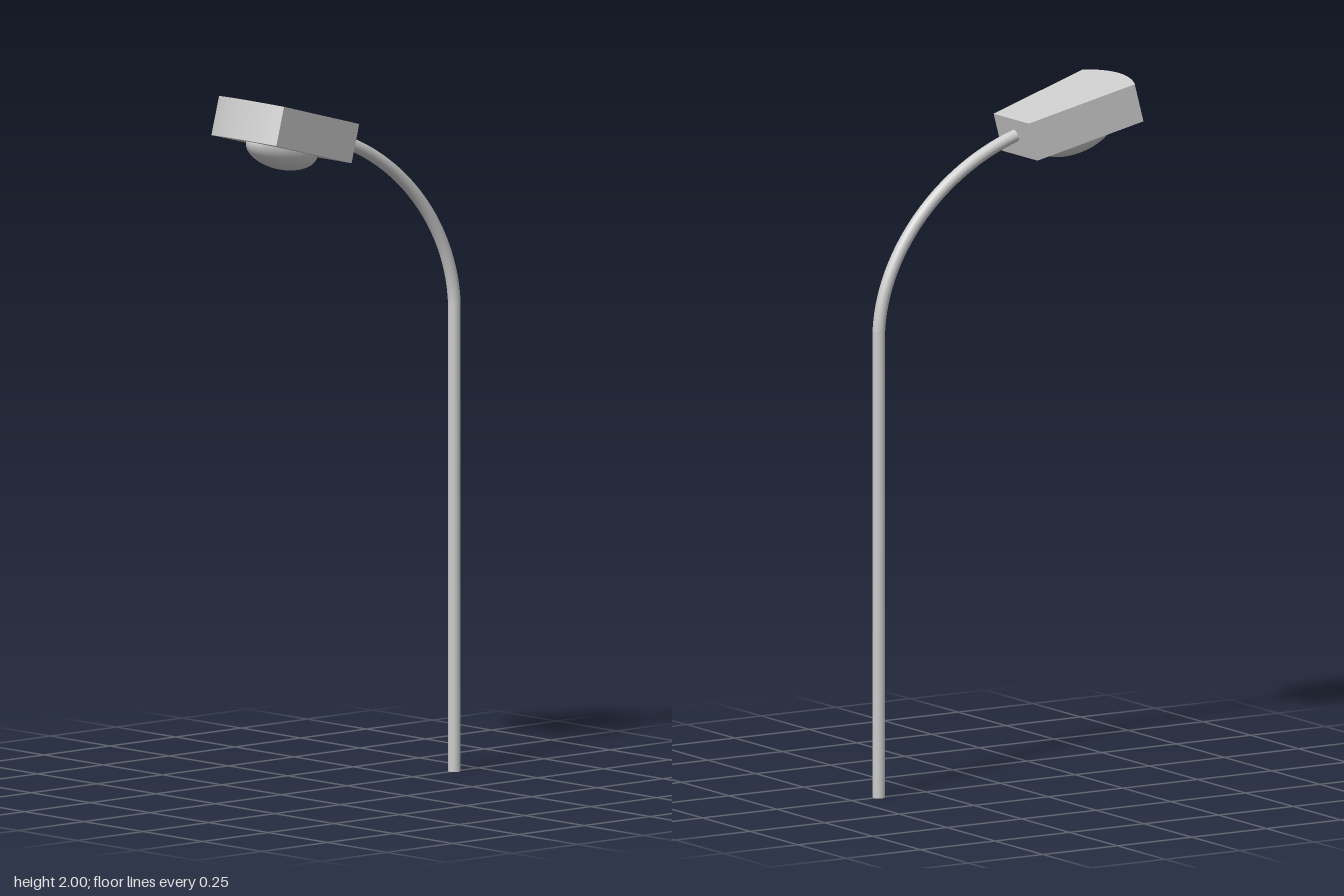
import * as THREE from 'three';
import { toCreasedNormals } from 'three/addons/utils/BufferGeometryUtils.js';

const material = new THREE.MeshStandardMaterial({ color: 0xcccccc });

const POLE_Z = -0.408, POLE_R = 0.018, POLE_TOP = 1.34;
const HEAD_T = 0.113; // thickness of the lamp head

function addPart(parent, name, geometry) {
  const mesh = new THREE.Mesh(geometry, material);
  mesh.name = name;
  parent.add(mesh);
  return mesh;
}

export function createModel() {
  const model = new THREE.Group();
  model.name = 'streetLamp';

  // Straight upright pole
  const pole = addPart(model, 'pole', new THREE.CylinderGeometry(POLE_R, POLE_R, POLE_TOP, 24));
  pole.position.set(0, POLE_TOP / 2, POLE_Z);

  // Arm bending forward from the pole into the head
  const bend = new THREE.CubicBezierCurve3(
    new THREE.Vector3(0, POLE_TOP, POLE_Z),
    new THREE.Vector3(0, 1.565, -0.395),
    new THREE.Vector3(0, 1.785, -0.2),
    new THREE.Vector3(0, 1.86, 0.07)
  );
  addPart(model, 'arm', new THREE.TubeGeometry(bend, 40, POLE_R, 24));

  // Lamp head, tilted up; its origin is the middle of the rear top edge
  const head = new THREE.Group();
  head.name = 'lampHead';
  head.position.set(0, 1.904, 0.036);
  head.rotation.x = -THREE.MathUtils.degToRad(15);
  model.add(head);

  // Housing: tapered plan with a bowed front edge
  const plan = new THREE.Shape();
  plan.moveTo(-0.092, 0);
  plan.lineTo(0.092, 0);
  plan.lineTo(0.137, 0.338);
  plan.bezierCurveTo(0.05, 0.383, -0.05, 0.383, -0.137, 0.338);
  plan.closePath();
  const housing = new THREE.ExtrudeGeometry(plan, { depth: HEAD_T, bevelEnabled: false, curveSegments: 24 });
  housing.rotateX(Math.PI / 2);
  addPart(head, 'housing', toCreasedNormals(housing, 0.5));

  // Oval lens bulging from the underside
  const lens = addPart(head, 'lens',
    new THREE.SphereGeometry(1, 32, 16, 0, Math.PI * 2, Math.PI / 2, Math.PI / 2));
  lens.scale.set(0.068, 0.058, 0.126);
  lens.position.set(0, -HEAD_T, 0.189);

  return model;
}
